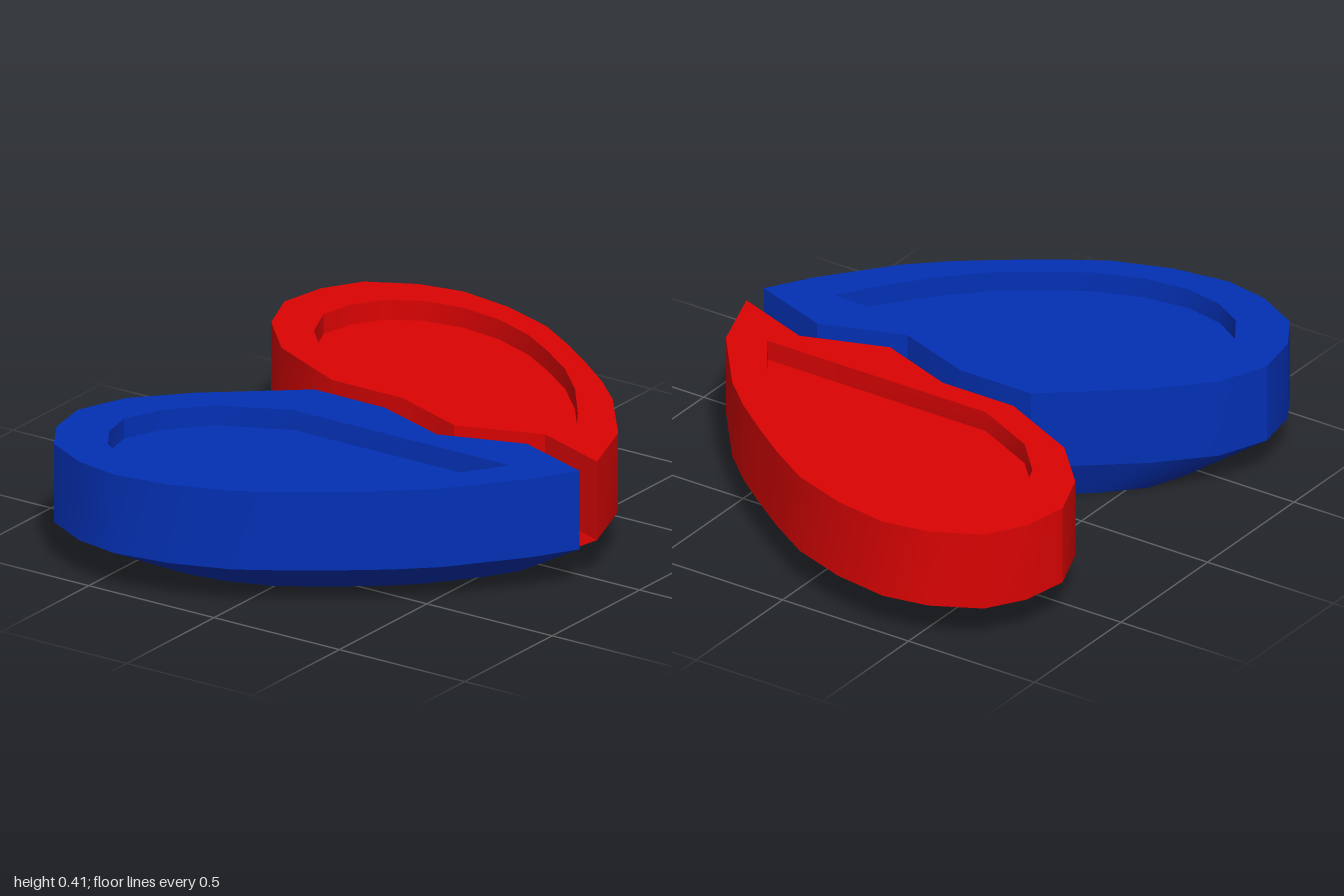
import * as THREE from 'three';
import { mergeGeometries, toCreasedNormals } from 'three/addons/utils/BufferGeometryUtils.js';

const TOP = 0.413, CHAMFER = 0.137, FLOOR = 0.343;

// Outlines as [x, distance from the centre line]
const curvedSide = [
  [0.74, 0.25], [0.55, 0.49], [0.43, 0.6], [0.3, 0.7], [0.16, 0.8], [0, 0.9],
  [-0.2, 0.97], [-0.4, 1], [-0.56, 0.97], [-0.72, 0.885], [-0.8, 0.755],
  [-0.83, 0.59], [-0.76, 0.415], [-0.6, 0.245],
];
const recess = [
  [0.615, 0.19], [0.53, 0.32], [0.4, 0.49], [0.27, 0.62], [0.13, 0.72], [0, 0.8],
  [-0.16, 0.86], [-0.32, 0.88], [-0.46, 0.855], [-0.57, 0.79], [-0.635, 0.69],
  [-0.66, 0.57], [-0.6, 0.43], [-0.48, 0.3], [-0.25, 0.19],
];
// Zigzag edges that interlock along the middle
const zigzag = (tip, notch) => [[-0.3, notch], [-0.02, notch], [0.26, tip], [0.55, notch], [0.83, tip]];

// Wall between two matching anticlockwise rings
function band(a, ya, b, yb) {
  const pos = [];
  a.forEach((p, i) => {
    const j = (i + 1) % a.length;
    const A = [p.x, ya, -p.y], B = [a[j].x, ya, -a[j].y];
    const C = [b[j].x, yb, -b[j].y], D = [b[i].x, yb, -b[i].y];
    pos.push(...A, ...B, ...C, ...A, ...C, ...D);
  });
  const g = new THREE.BufferGeometry();
  g.setAttribute('position', new THREE.Float32BufferAttribute(pos, 3));
  return toCreasedNormals(g, 0.5);
}

// Flat face facing up or down, with an optional hole
function cap(ring, y, up, hole) {
  const pts = up ? ring : ring.map((p) => new THREE.Vector2(p.x, -p.y));
  const shape = new THREE.Shape(pts);
  if (hole) shape.holes.push(new THREE.Path(hole));
  const g = new THREE.ShapeGeometry(shape).toNonIndexed();
  g.deleteAttribute('uv');
  return g.rotateX(up ? -Math.PI / 2 : Math.PI / 2).translate(0, y, 0);
}

// side = 1 for the back half, -1 for the front half
function buildHalf(name, material, side, edge) {
  const toRing = (list) => {
    const ring = list.map(([x, d]) => new THREE.Vector2(x, d * side));
    return side < 0 ? ring.reverse() : ring;
  };
  const outer = toRing([...curvedSide, ...edge]);
  const inner = toRing(recess);
  const base = outer.map((p) => new THREE.Vector2(p.x * 0.711 - 0.01, p.y * 0.715 + 0.015 * side));

  const group = new THREE.Group();
  group.name = name;
  const add = (part, ...geometries) => {
    const mesh = new THREE.Mesh(mergeGeometries(geometries), material);
    mesh.name = part;
    group.add(mesh);
  };
  add('body', cap(base, 0, false), band(base, 0, outer, CHAMFER), band(outer, CHAMFER, outer, TOP));
  add('rim', cap(outer, TOP, true, inner));
  add('recess', band(inner, TOP, inner, FLOOR), cap(inner, FLOOR, true));
  return group;
}

export function createModel() {
  const red = new THREE.MeshStandardMaterial({ color: 0xdc0303 });
  red.name = 'red';
  const blue = new THREE.MeshStandardMaterial({ color: 0x0330b4 });
  blue.name = 'blue';

  const model = new THREE.Group();
  model.name = 'interlockingHalves';
  model.add(buildHalf('backHalf', red, 1, zigzag(0, 0.103)));
  model.add(buildHalf('frontHalf', blue, -1, zigzag(0.1, 0)));
  return model;
}
